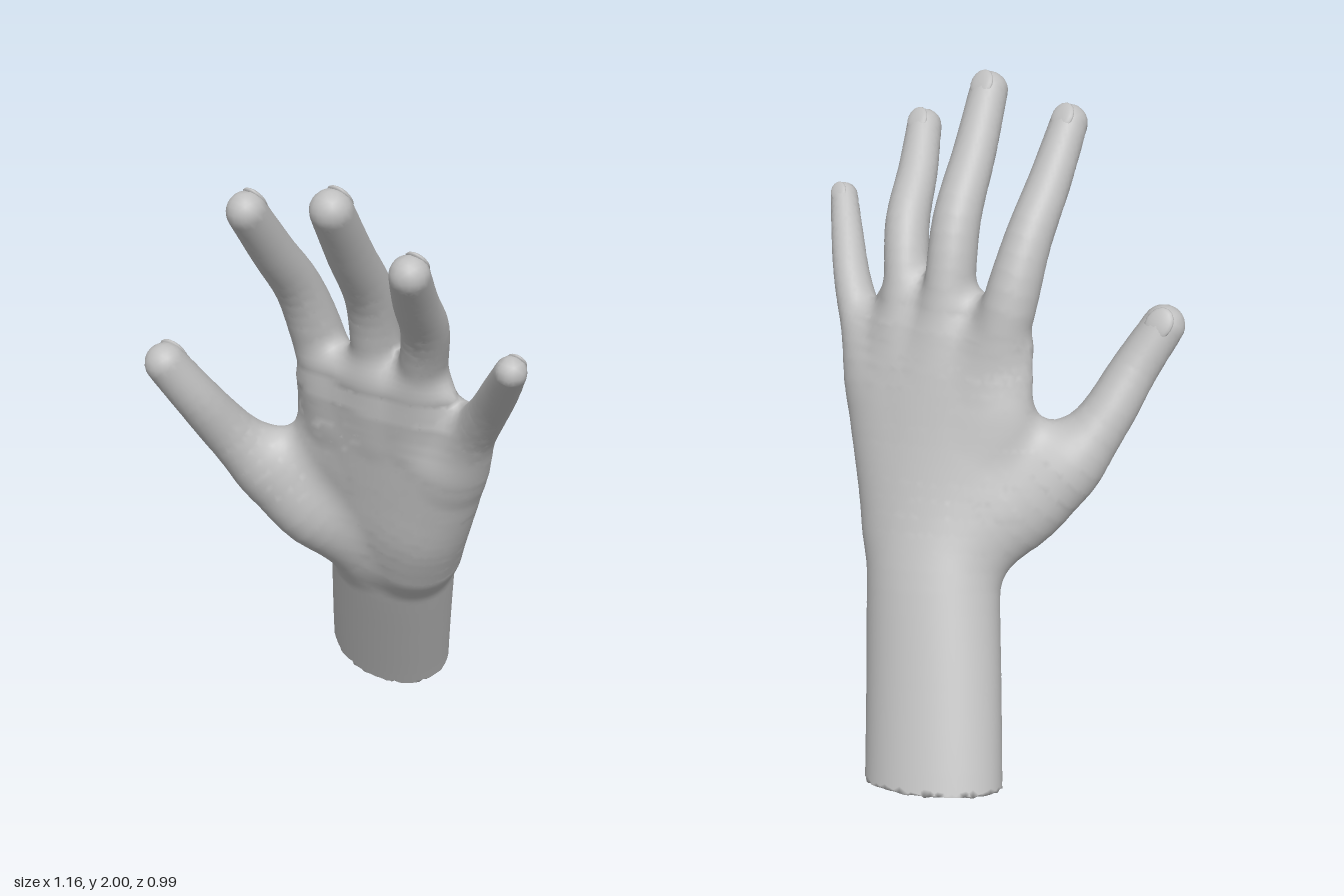
import * as THREE from 'three';

const V = (x, y, z) => new THREE.Vector3(x, y, z);
const ACROSS = V(0.93, -0.26, -0.25); // direction across the palm, thumb side to little finger

// Sections [x, y, z, half width, half thickness]; blend is how softly a part merges with the rest
const PARTS = {
  forearmAndPalm: { blend: 0.01, sections: [
    [-0.39, -0.03, -0.385, 0.218, 0.163],
    [-0.352, 0.085, -0.34, 0.218, 0.163],
    [-0.255, 0.35, -0.235, 0.214, 0.163],
    [-0.163, 0.6, -0.138, 0.21, 0.165],
    [-0.097, 0.8, -0.058, 0.235, 0.153],
    [-0.05, 1.0, 0.0, 0.28, 0.13],
    [-0.005, 1.2, 0.05, 0.312, 0.11],
    [0.005, 1.31, 0.085, 0.29, 0.095],
    [0.012, 1.37, 0.105, 0.24, 0.075],
  ] },
  palmPad: { blend: 0.1, sections: [
    [0.01, 0.72, -0.06, 0.1, 0.1],
    [0.06, 0.85, -0.015, 0.11, 0.1],
    [0.12, 1.0, 0.01, 0.1, 0.085],
    [0.17, 1.12, 0.03, 0.08, 0.07],
  ] },
  thumbWeb: { blend: 0.08, wide: V(0, 1, 0), sections: [
    [-0.2, 1.07, 0.06, 0.12, 0.06],
    [-0.31, 1.02, 0.12, 0.09, 0.055],
    [-0.4, 0.98, 0.18, 0.06, 0.05],
  ] },
  thumb: { blend: 0.09, digit: true, wide: V(0.93, 0.37, -0.05), sections: [
    [-0.18, 0.72, -0.03, 0.11, 0.1],
    [-0.285, 0.83, 0.07, 0.135, 0.13],
    [-0.39, 0.97, 0.168, 0.108, 0.108],
    [-0.452, 1.11, 0.27, 0.078, 0.08],
    [-0.482, 1.25, 0.365, 0.068, 0.068],
    [-0.52, 1.372, 0.438, 0.061, 0.061],
  ] },
  indexFinger: { blend: 0.05, digit: true, sections: [
    [-0.17, 1.2, 0.085, 0.08, 0.075],
    [-0.206, 1.43, 0.125, 0.077, 0.078],
    [-0.206, 1.61, 0.2, 0.067, 0.068],
    [-0.188, 1.75, 0.31, 0.061, 0.06],
    [-0.163, 1.89, 0.42, 0.053, 0.054],
  ] },
  middleFinger: { blend: 0.05, digit: true, sections: [
    [-0.01, 1.2, 0.055, 0.08, 0.08],
    [-0.005, 1.45, 0.1, 0.072, 0.078],
    [0.022, 1.63, 0.158, 0.069, 0.069],
    [0.062, 1.79, 0.275, 0.063, 0.061],
    [0.11, 1.942, 0.39, 0.056, 0.055],
  ] },
  ringFinger: { blend: 0.05, digit: true, sections: [
    [0.1, 1.2, 0.035, 0.08, 0.075],
    [0.15, 1.43, 0.085, 0.066, 0.073],
    [0.205, 1.58, 0.145, 0.065, 0.066],
    [0.258, 1.7, 0.245, 0.06, 0.058],
    [0.315, 1.81, 0.335, 0.052, 0.052],
  ] },
  littleFinger: { blend: 0.05, digit: true, sections: [
    [0.19, 1.1, 0.005, 0.08, 0.075],
    [0.29, 1.265, 0.035, 0.066, 0.068],
    [0.375, 1.375, 0.078, 0.055, 0.059],
    [0.455, 1.475, 0.138, 0.05, 0.05],
    [0.535, 1.575, 0.205, 0.042, 0.042],
  ] },
};

// Frames along a part: centre, wide axis, back-of-hand axis, tangent, sizes
function framesOf({ sections, wide = ACROSS }) {
  const centre = new THREE.CatmullRomCurve3(sections.map((s) => V(s[0], s[1], s[2])));
  const size = new THREE.CatmullRomCurve3(sections.map((s) => V(s[3], s[4], 0)));
  const count = (sections.length - 1) * 4;
  return Array.from({ length: count + 1 }, (_, i) => {
    const t = centre.getTangent(i / count);
    const w = wide.clone().addScaledVector(t, -wide.dot(t)).normalize();
    return { c: centre.getPoint(i / count), s: size.getPoint(i / count), w, n: t.clone().cross(w), t };
  });
}

// Approximate distance from a point to an oval limb with domed ends
function limbDistance(frames, x, y, z) {
  let best = Infinity, seg = 0, at = 0;
  for (let i = 0; i < frames.length - 1; i++) {
    const a = frames[i].c, b = frames[i + 1].c;
    const ex = b.x - a.x, ey = b.y - a.y, ez = b.z - a.z;
    const px = x - a.x, py = y - a.y, pz = z - a.z;
    const h = Math.min(1, Math.max(0, (px * ex + py * ey + pz * ez) / (ex * ex + ey * ey + ez * ez)));
    const d = (px - ex * h) ** 2 + (py - ey * h) ** 2 + (pz - ez * h) ** 2;
    if (d < best) { best = d; seg = i; at = h; }
  }
  const f = frames[seg], g = frames[seg + 1];
  const mix = (key, axis) => f[key][axis] + (g[key][axis] - f[key][axis]) * at;
  const qx = x - mix('c', 'x'), qy = y - mix('c', 'y'), qz = z - mix('c', 'z');
  const a = mix('s', 'x'), b = mix('s', 'y');
  const u = qx * mix('w', 'x') + qy * mix('w', 'y') + qz * mix('w', 'z');
  const v = qx * mix('n', 'x') + qy * mix('n', 'y') + qz * mix('n', 'z');
  const r2 = Math.max(0, best - u * u - v * v);
  const k0 = Math.sqrt((u / a) ** 2 + (v * v + r2) / (b * b));
  const k1 = Math.sqrt((u / (a * a)) ** 2 + (v * v + r2) / b ** 4);
  return k1 < 1e-6 ? -b : (k0 * (k0 - 1)) / k1;
}

export function createModel() {
  const hand = new THREE.Group();
  hand.name = 'hand';
  const skin = new THREE.MeshStandardMaterial({ color: 0xbfbfbf });
  skin.name = 'plain grey';
  const names = Object.keys(PARTS);
  const limbs = names.map((name) => ({ ...PARTS[name], frames: framesOf(PARTS[name]) }));

  // All limbs softly merged, with the forearm cut flat
  const cut = limbs[0].frames[4];
  const field = (x, y, z) => {
    let d = limbDistance(limbs[0].frames, x, y, z);
    for (let i = 1; i < limbs.length; i++) {
      const e = limbDistance(limbs[i].frames, x, y, z), k = limbs[i].blend;
      const h = Math.max(k - Math.abs(d - e), 0) / k;
      d = Math.min(d, e) - (h * h * k) / 4;
    }
    return Math.max(d, (cut.c.x - x) * cut.t.x + (cut.c.y - y) * cut.t.y + (cut.c.z - z) * cut.t.z);
  };
  const E = 0.003;
  const slope = (x, y, z) => V(
    field(x + E, y, z) - field(x - E, y, z),
    field(x, y + E, z) - field(x, y - E, z),
    field(x, y, z + E) - field(x, y, z - E),
  ).divideScalar(2 * E);

  // Sample the field on a grid
  const H = 0.018, low = [-0.65, -0.06, -0.57], dim = [73, 118, 64];
  const step = [1, dim[0], dim[0] * dim[1]];
  const values = new Float32Array(dim[0] * dim[1] * dim[2]);
  const eachPoint = (visit) => {
    for (let k = 1; k < dim[2] - 1; k++)
      for (let j = 1; j < dim[1] - 1; j++)
        for (let i = 1; i < dim[0] - 1; i++) visit(i + j * step[1] + k * step[2], [i, j, k]);
  };
  values.fill(1);
  eachPoint((id, g) => { values[id] = field(...g.map((n, a) => low[a] + n * H)); });

  // One vertex in each grid cell the skin passes through
  const corners = Array.from({ length: 8 }, (_, n) => [n & 1, (n >> 1) & 1, n >> 2]);
  const vertexOf = new Map(), position = [], normal = [], owner = [];
  eachPoint((id, g) => {
    const f = corners.map((c) => values[id + c[0] + c[1] * step[1] + c[2] * step[2]]);
    const p = V(0, 0, 0);
    let hits = 0;
    for (let n = 0; n < 8; n++) for (const bit of [1, 2, 4]) {
      const m = n | bit;
      if (m === n || f[n] < 0 === f[m] < 0) continue;
      p.add(V(...corners[n]).lerp(V(...corners[m]), f[n] / (f[n] - f[m])));
      hits++;
    }
    if (!hits) return;
    p.divideScalar(hits).add(V(...g)).multiplyScalar(H).add(V(...low));
    const s = slope(p.x, p.y, p.z);
    p.addScaledVector(s, -field(p.x, p.y, p.z) / Math.max(s.lengthSq(), 0.3));
    const near = limbs.map((l) => limbDistance(l.frames, p.x, p.y, p.z));
    vertexOf.set(id, owner.length);
    owner.push(near.indexOf(Math.min(...near)));
    position.push(p.x, p.y, p.z);
    normal.push(...slope(p.x, p.y, p.z).normalize().toArray());
  });

  // A quad around each grid edge that crosses the skin, sorted by part
  const faces = names.map(() => []);
  eachPoint((id) => {
    for (let d = 0; d < 3; d++) {
      if (values[id] < 0 === values[id + step[d]] < 0) continue;
      const u = step[(d + 1) % 3], v = step[(d + 2) % 3];
      const q = [id - u - v, id - v, id, id - u].map((n) => vertexOf.get(n));
      if (values[id] >= 0) q.reverse();
      faces[owner[q[0]]].push(q[0], q[1], q[2], q[0], q[2], q[3]);
    }
  });
  const positions = new THREE.Float32BufferAttribute(position, 3);
  const normals = new THREE.Float32BufferAttribute(normal, 3);

  names.forEach((name, i) => {
    const part = new THREE.Group();
    part.name = name;
    hand.add(part);
    const flesh = new THREE.BufferGeometry();
    flesh.setAttribute('position', positions);
    flesh.setAttribute('normal', normals);
    flesh.setIndex(faces[i]);
    const mesh = new THREE.Mesh(flesh, skin);
    mesh.name = name + 'Flesh';
    part.add(mesh);
    if (!limbs[i].digit) return;

    // Low nail on the back of the fingertip
    const f = limbs[i].frames.at(-1);
    const nail = new THREE.SphereGeometry(1, 16, 10);
    nail.scale(f.s.x * 0.66, f.s.y * 0.22, f.s.y * 0.8);
    nail.applyMatrix4(new THREE.Matrix4()
      .makeBasis(f.w.clone().negate(), f.n, f.t.clone().negate())
      .setPosition(f.c.clone().addScaledVector(f.n, f.s.y * 0.79)));
    const plate = new THREE.Mesh(nail, skin);
    plate.name = name + 'Nail';
    part.add(plate);
  });

  return hand;
}
